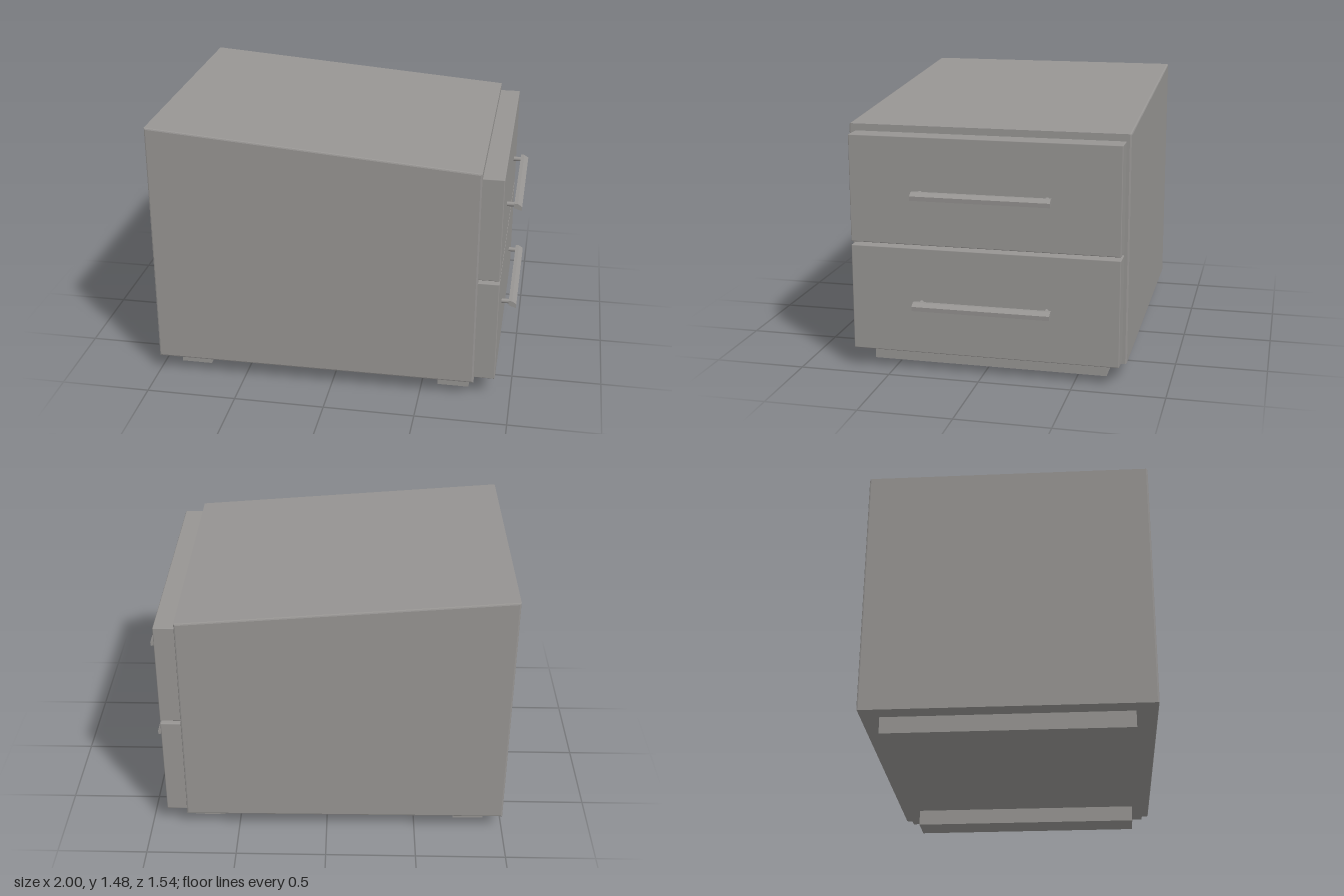
import * as THREE from 'three';
import { RoundedBoxGeometry } from 'three/addons/geometries/RoundedBoxGeometry.js';

const grey = new THREE.MeshStandardMaterial({ color: 0x969492 });
grey.name = 'warm grey';

// Extrude an outline in the xy plane along z, between z0 and z1, with an optional small bevel
function prism(points, z0, z1, bevel = 0) {
  const shape = new THREE.Shape(points.map(([x, y]) => new THREE.Vector2(x, y)));
  const geometry = new THREE.ExtrudeGeometry(shape, {
    depth: z1 - z0 - 2 * bevel,
    bevelEnabled: bevel > 0,
    bevelSize: bevel,
    bevelThickness: bevel,
    bevelOffset: -bevel,
    bevelSegments: 2,
  });
  return geometry.translate(0, 0, z0 + bevel);
}

function add(parent, name, geometry, x = 0, y = 0, z = 0) {
  const mesh = new THREE.Mesh(geometry, grey);
  mesh.name = name;
  mesh.position.set(x, y, z);
  parent.add(mesh);
  return mesh;
}

// Bar handle on two round posts, centred on the drawer
function makeHandle(y) {
  const handle = new THREE.Group();
  handle.name = 'handle';
  const profile = [
    [0.953, -0.01], [0.975, -0.017], [0.995, -0.024],
    [0.997, 0], [0.972, 0.017], [0.953, 0.017],
  ];
  add(handle, 'handleBar', prism(profile, -0.383, 0.365));
  const post = new THREE.CylinderGeometry(0.013, 0.013, 0.07, 12).rotateZ(Math.PI / 2);
  for (const z of [-0.352, 0.333]) add(handle, 'handlePost', post, 0.935, 0, z);
  handle.position.y = y;
  return handle;
}

export function createModel() {
  const model = new THREE.Group();
  model.name = 'drawerCabinet';

  // Cabinet body with a top sloping down to the drawer side, very slightly skewed
  const body = prism([[-1, 0.09], [0.797, 0.09], [0.797, 1.335], [-1, 1.477]], -0.763, 0.763, 0.009);
  const p = body.attributes.position;
  for (let i = 0; i < p.count; i++) p.setZ(i, p.getZ(i) - 0.0055 * p.getX(i));
  body.computeVertexNormals();
  add(model, 'cabinetBody', body);

  // Two drawer fronts with handles
  for (const [bottom, top, handleY] of [[0.107, 0.693, 0.393], [0.711, 1.297, 0.997]]) {
    const drawer = new THREE.Group();
    drawer.name = 'drawer';
    add(drawer, 'drawerFront', new RoundedBoxGeometry(0.123, top - bottom, 1.466, 2, 0.005),
      0.8505, (bottom + top) / 2, -0.009);
    drawer.add(makeHandle(handleY));
    model.add(drawer);
  }

  // Base rails
  for (const x of [-0.815, 0.678]) {
    add(model, 'baseRail', new THREE.BoxGeometry(0.174, 0.1, 1.31), x, 0.05, 0);
  }

  return model;
}
